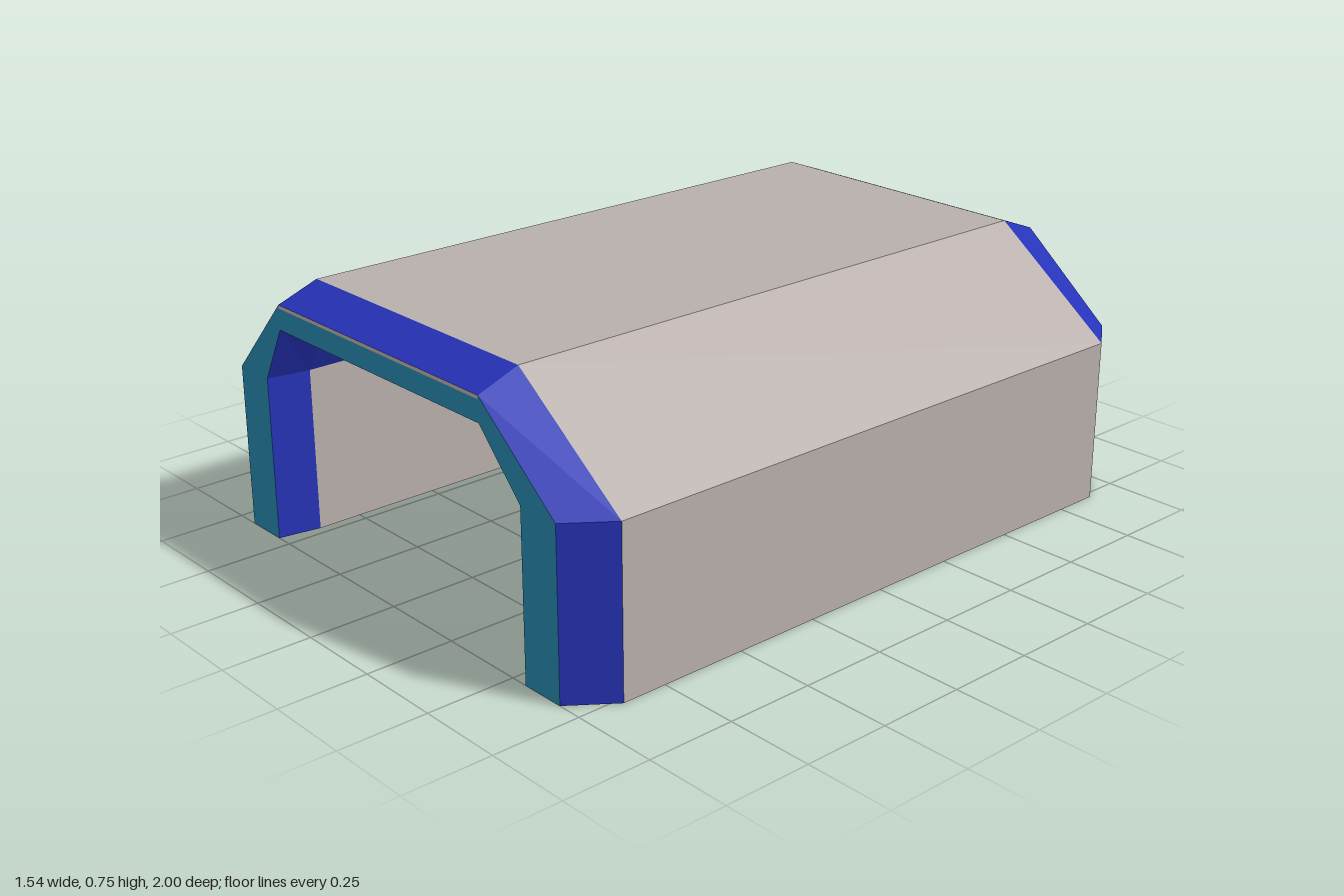
import * as THREE from 'three';

const mat = (name, color) => Object.assign(new THREE.MeshStandardMaterial({ color }), { name });

// Arch profile from the -x foot over the roof to the +x foot
const arch = (halfWidth, roofY, z) => [
  [-halfWidth, 0, z], [-halfWidth, 0.47, z], [-0.465, roofY, z],
  [0.4, roofY, z], [halfWidth, 0.47, z], [halfWidth, 0, z],
];

// Flat panels between two profiles, only for the chosen segments
function panels(a, b, segments) {
  const pos = [];
  for (const i of segments) {
    const [p, q, r, s] = [a[i], a[i + 1], b[i + 1], b[i]];
    pos.push(...p, ...q, ...r, ...p, ...r, ...s);
  }
  const geo = new THREE.BufferGeometry();
  geo.setAttribute('position', new THREE.Float32BufferAttribute(pos, 3));
  geo.computeVertexNormals();
  return geo;
}

export function createModel() {
  const group = new THREE.Group();
  group.name = 'archedShelter';
  const grey = mat('warmGrey', 0xb8afab);
  const blue = mat('blue', 0x2633b8);
  const teal = mat('teal', 0x2686ac);
  const black = mat('black', 0x020202);

  const add = (name, geo, material) => {
    const mesh = new THREE.Mesh(geo, material);
    mesh.name = name;
    group.add(mesh);
  };

  const B = 0.88, E = 1;
  const all = [0, 1, 2, 3, 4];
  const outerBody = (s) => arch(0.77, 0.745, s * B);
  const outerEnd = (s) => arch(0.68, 0.7, s * E);
  const rimTop = (s) => arch(0.68, 0.69, s * E);
  const innerEnd = (s) => arch(0.55, 0.63, s * E);
  const innerBody = (s) => arch(0.53, 0.58, s * B);

  // Outer shell and lining
  add('outerShell', panels(outerBody(1), outerBody(-1), all), grey);
  add('innerWallsAndCeiling', panels(innerBody(-1), innerBody(1), [0, 2, 4]), grey);
  add('innerSlopes', panels(innerBody(-1), innerBody(1), [1, 3]), blue);

  // Bevelled frame at each opening
  for (const [side, s] of [['front', 1], ['back', -1]]) {
    const frame = (name, a, b, segments, material) =>
      add(side + name, s > 0 ? panels(a, b, segments) : panels(b, a, segments), material);
    frame('OuterBevel', outerEnd(s), outerBody(s), all, blue);
    frame('Lip', rimTop(s), outerEnd(s), [2], grey);
    frame('LipCorners', rimTop(s), outerEnd(s), [1, 3], teal);
    frame('Rim', innerEnd(s), rimTop(s), all, teal);
    frame('InnerBevel', innerBody(s), innerEnd(s), all, blue);
  }

  // Undersides of the two legs
  for (const [side, s] of [['left', 1], ['right', -1]]) {
    const outline = [
      [0.77, B], [0.68, E], [0.55, E], [0.53, B],
      [0.53, -B], [0.55, -E], [0.68, -E], [0.77, -B],
    ].map(([x, z]) => new THREE.Vector2(s * x, z));
    const geo = new THREE.ShapeGeometry(new THREE.Shape(outline));
    geo.rotateX(Math.PI / 2);
    add(side + 'LegUnderside', geo, black);
  }
  return group;
}
